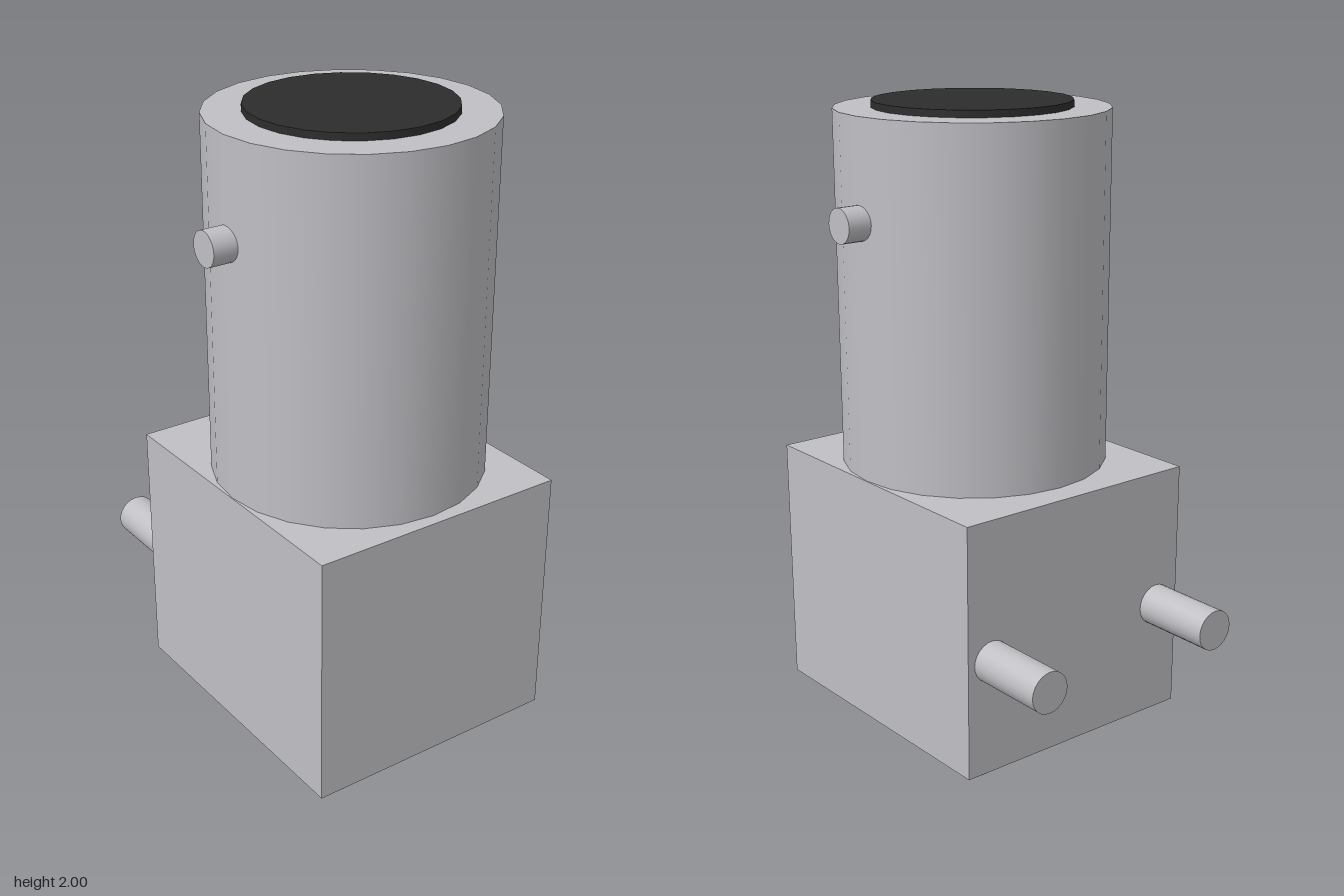
import * as THREE from 'three';

export function createModel() {
  const model = new THREE.Group();
  const metal = new THREE.MeshStandardMaterial({ color: 0xc0bfc4 });
  metal.name = 'greyMetal';
  const gold = new THREE.MeshStandardMaterial({ color: 0xcdb55f });
  gold.name = 'goldContact';
  const black = new THREE.MeshStandardMaterial({ color: 0x2d2d2d });
  black.name = 'blackInsulator';

  const add = (name, geometry, material, x, y, z) => {
    const mesh = new THREE.Mesh(geometry, material);
    mesh.name = name;
    mesh.position.set(x, y, z);
    model.add(mesh);
    return mesh;
  };
  const rod = (r, length) => new THREE.CylinderGeometry(r, r, length, 24);
  const axisZ = 0.138;

  // Square body with the round barrel standing on it
  add('body', new THREE.BoxGeometry(0.75, 0.72, 0.855), metal, 0, 0.645, 0.117);
  add('barrel', rod(0.373, 0.976), metal, 0, 1.493, axisZ);

  // Dark insert in the mouth of the barrel
  add('insert', rod(0.271, 0.04), black, 0, 1.98, axisZ);

  // Square contact pin below the body
  add('contactPin', new THREE.BoxGeometry(0.062, 0.3, 0.062), gold, 0, 0.15, 0.112);

  // Mirrored locking studs on the barrel and mounting posts at the back
  for (const side of [1, -1]) {
    const name = side > 0 ? 'left' : 'right';
    add(name + 'LockingStud', rod(0.047, 0.12), metal, side * 0.375, 1.709, axisZ)
      .rotation.z = Math.PI / 2;
    add(name + 'MountingPost', rod(0.058, 0.255), metal, side * 0.296, 0.61, -0.417)
      .rotation.x = Math.PI / 2;
  }
  return model;
}
